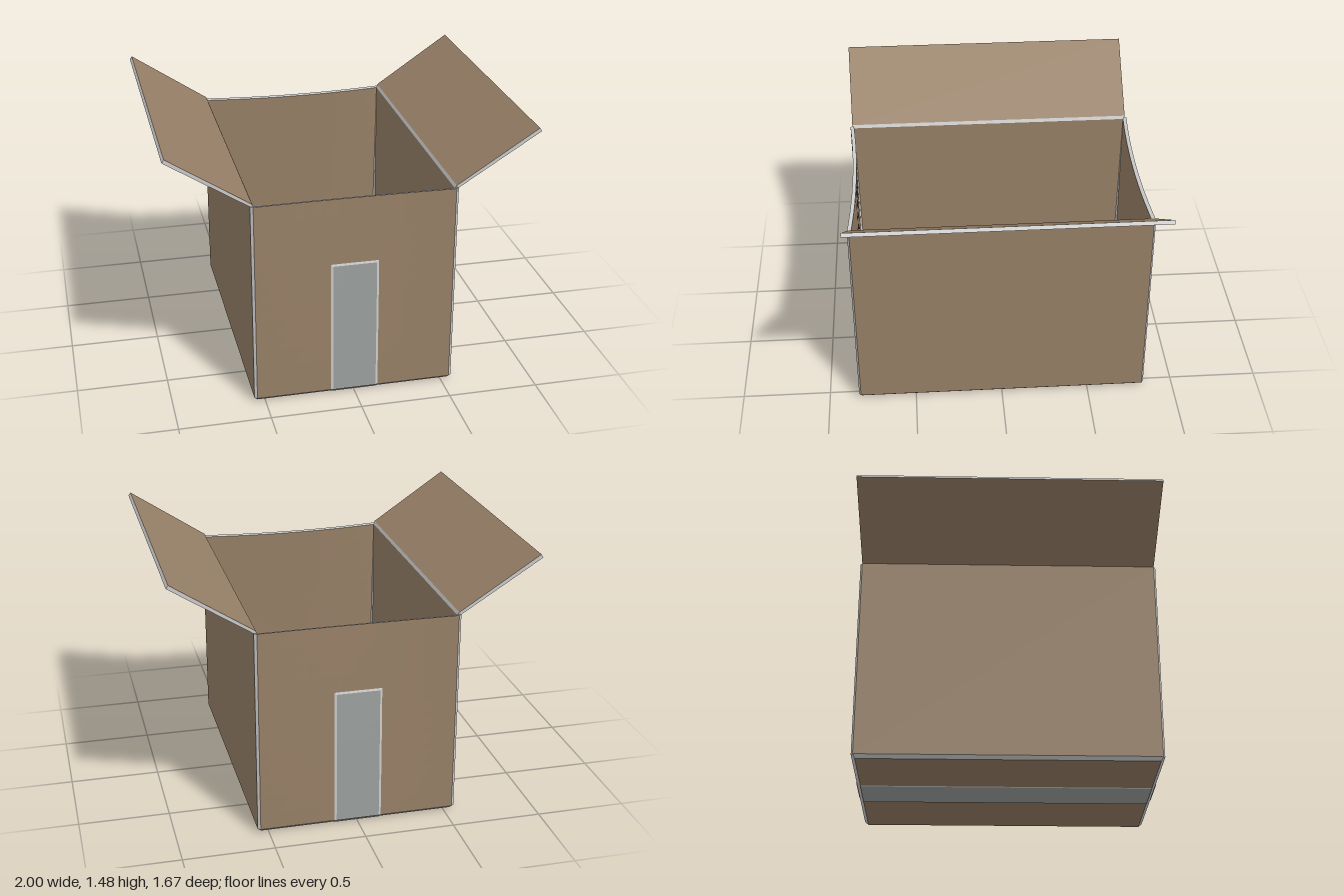
import * as THREE from 'three';

const paint = (color) => new THREE.MeshStandardMaterial({ color, flatShading: true, side: THREE.DoubleSide });
const card = paint(0x967f66), edge = paint(0xcccccc), tape = paint(0x9a9f9d);

const H = 1.17; // wall height

// The end walls sag inwards towards the middle of their top edge.
function sag(p) {
  const mid = Math.max(0, 1 - (p.x / 0.545) ** 2), up = Math.min(1, p.y / H);
  if (Math.abs(p.z) > 0.8 && up > 0) {
    p.z -= Math.sign(p.z) * 0.022 * mid * up ** 1.5;
    p.y -= 0.007 * mid * up ** 6;
  }
  return p;
}

// Panel between corners a, b, c, d (in order; three make a triangle), facing along out.
function panel(group, name, material, out, corners, nu = 1, nv = 1) {
  let [a, b, c, d] = corners.map((p) => new THREE.Vector3(...p));
  d = d ?? c.clone();
  const normal = new THREE.Vector3().crossVectors(c.clone().sub(a), d.clone().sub(b));
  if (corners.length === 3) normal.crossVectors(b.clone().sub(a), c.clone().sub(a));
  if (normal.dot(new THREE.Vector3(...out)) < 0) {
    [a, b, c, d] = [b, a, d, c];
  }
  const pos = [], index = [];
  for (let j = 0; j <= nv; j++) {
    for (let i = 0; i <= nu; i++) {
      const low = a.clone().lerp(b, i / nu), high = d.clone().lerp(c, i / nu);
      pos.push(...sag(low.lerp(high, j / nv)).toArray());
      if (i < nu && j < nv) {
        const k = j * (nu + 1) + i, m = k + nu + 1;
        index.push(k, k + 1, m + 1, k, m + 1, m);
      }
    }
  }
  const geometry = new THREE.BufferGeometry();
  geometry.setAttribute('position', new THREE.Float32BufferAttribute(pos, 3));
  geometry.setIndex(index);
  geometry.computeVertexNormals();
  const mesh = new THREE.Mesh(geometry, material);
  mesh.name = name;
  group.add(mesh);
}

// Strip running the length of the box between two [x, y, halfLength] lines.
const alongZ = ([x1, y1, z1], [x2, y2, z2]) =>
  [[x1, y1, -z1], [x1, y1, z1], [x2, y2, z2], [x2, y2, -z2]];
// Strip running across the box between two [halfWidth, y, z] lines.
const alongX = ([x1, y1, z1], [x2, y2, z2]) =>
  [[-x1, y1, z1], [x1, y1, z1], [x2, y2, z2], [-x2, y2, z2]];

function addSideWall(g, s) {
  panel(g, 'sideOuter', card, [s, 0, 0], alongZ([s * 0.56, 0.022, 0.82], [s * 0.56, H, 0.82]));
  panel(g, 'sideInner', card, [-s, 0, 0], alongZ([s * 0.54, 0.037, 0.795], [s * 0.54, 1.165, 0.81]));
  panel(g, 'sideBottomBevel', edge, [s, -1, 0], alongZ([s * 0.56, 0.022, 0.82], [s * 0.54, 0.003, 0.81]));
  panel(g, 'sideFloorBevel', edge, [-s, 1, 0], alongZ([s * 0.54, 0.037, 0.795], [s * 0.525, 0.022, 0.795]));
}

function addFlap(g, s) {
  const low = [s * 0.56, H, 0.82], tipLow = [s, 1.457, 0.833];
  const top = [s * 0.548, 1.183, 0.82], tipTop = [s * 0.988, 1.475, 0.833];
  panel(g, 'flapUnderside', card, [s, -1, 0], alongZ(low, tipLow));
  panel(g, 'flapUpperside', card, [-s, 1, 0], alongZ(top, tipTop));
  panel(g, 'flapTip', edge, [s, 1, 0], alongZ(tipLow, tipTop));
  panel(g, 'flapHinge', edge, [-s, 0, 0], alongZ([s * 0.54, 1.165, 0.81], top));
  for (const t of [-1, 1]) {
    const at = ([x, y, z]) => [x, y, z * t];
    panel(g, 'flapEnd', edge, [0, 0, t], [low, tipLow, tipTop, top].map(at));
    panel(g, 'hingeEnd', edge, [0, 0, t], [at(low), at(top), [s * 0.54, 1.165, t * 0.81]]);
  }
}

function addEndWall(g, t) {
  panel(g, 'endOuter', card, [0, 0, t], alongX([0.545, 0.022, t * 0.831], [0.545, H, t * 0.831]), 12, 12);
  panel(g, 'endInner', card, [0, 0, -t], alongX([0.525, 0.037, t * 0.81], [0.54, 1.165, t * 0.81]), 12, 12);
  panel(g, 'endRim', edge, [0, 1, 0], alongX([0.545, H, t * 0.831], [0.54, 1.165, t * 0.81]), 12, 1);
  panel(g, 'endBottomBevel', edge, [0, -1, t], alongX([0.545, 0.022, t * 0.831], [0.54, 0.003, t * 0.81]));
  panel(g, 'endFloorBevel', edge, [0, 1, -t], alongX([0.525, 0.037, t * 0.81], [0.525, 0.022, t * 0.795]));
}

function addCorner(g, s, t) {
  const p = (x, y, z) => [s * x, y, t * z];
  panel(g, 'cornerBevel', edge, [s, 0, t],
    [p(0.545, 0.022, 0.831), p(0.56, 0.022, 0.82), p(0.56, H, 0.82), p(0.545, H, 0.831)]);
  panel(g, 'cornerFoot', edge, [s, -1, t], [p(0.545, 0.022, 0.831), p(0.56, 0.022, 0.82), p(0.54, 0.003, 0.81)]);
  panel(g, 'cornerRim', edge, [0, 1, 0], [p(0.545, H, 0.831), p(0.56, H, 0.82), p(0.54, 1.165, 0.81)]);
  panel(g, 'cornerInner', edge, [-s, 0, -t], [p(0.525, 0.037, 0.81), p(0.54, 0.037, 0.795), p(0.54, 1.165, 0.81)]);
  panel(g, 'cornerFloor', edge, [-s, 1, -t], [p(0.54, 0.037, 0.795), p(0.525, 0.037, 0.81), p(0.525, 0.022, 0.795)]);
}

// Tape: a raised face with a narrow sloping rim.
function addTape(g, t) {
  const z = t * 0.834, back = t * 0.831, top = 0.79;
  panel(g, 'tapeFace', tape, [0, 0, t], alongX([0.12, 0.022, z], [0.12, top - 0.012, z]), 4, 8);
  panel(g, 'tapeTopRim', edge, [0, 1, t], alongX([0.12, top - 0.012, z], [0.132, top, back]), 4, 1);
  for (const s of [-1, 1]) {
    panel(g, 'tapeSideRim', edge, [s, 0, t],
      [[s * 0.12, 0.022, z], [s * 0.132, 0.022, back], [s * 0.132, top, back], [s * 0.12, top - 0.012, z]], 1, 8);
  }
}

export function createModel() {
  const model = new THREE.Group();
  model.name = 'openCardboardBox';
  const part = (name) => {
    const g = new THREE.Group();
    g.name = name;
    model.add(g);
    return g;
  };

  const base = part('base');
  panel(base, 'floor', card, [0, 1, 0], alongX([0.525, 0.022, -0.795], [0.525, 0.022, 0.795]));
  panel(base, 'underside', card, [0, -1, 0], alongX([0.54, 0.003, -0.81], [0.54, 0.003, 0.81]));

  const bottomTape = part('bottomTape');
  panel(bottomTape, 'tapeFace', tape, [0, -1, 0], alongX([0.125, 0, -0.81], [0.125, 0, 0.81]));
  for (const s of [-1, 1]) {
    panel(bottomTape, 'tapeSideRim', edge, [s, -1, 0], alongZ([s * 0.125, 0, 0.81], [s * 0.132, 0.003, 0.81]));
  }

  for (const s of [-1, 1]) {
    const side = s > 0 ? 'left' : 'right';
    addSideWall(part(side + 'Wall'), s);
    addFlap(part(side + 'Flap'), s);
  }
  for (const t of [-1, 1]) {
    const end = t > 0 ? 'front' : 'back';
    addEndWall(part(end + 'Wall'), t);
    addTape(part(end + 'Tape'), t);
    const corners = part(end + 'Corners');
    for (const s of [-1, 1]) addCorner(corners, s, t);
  }
  return model;
}
